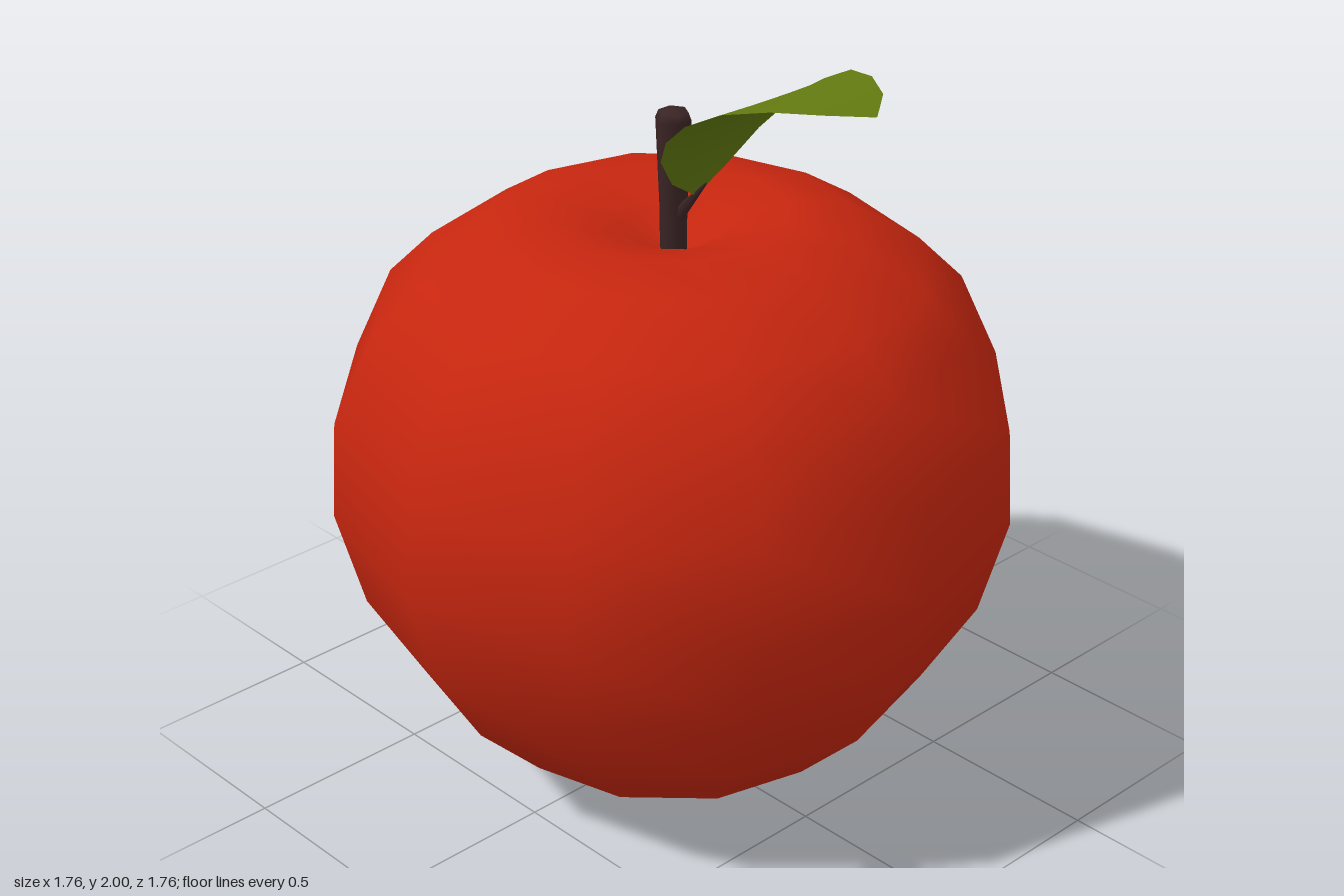
import * as THREE from 'three';

const material = (name, color, side = THREE.FrontSide) => {
  const m = new THREE.MeshStandardMaterial({ color, side });
  m.name = name;
  return m;
};

// Revolve a [radius, height] profile, listed from bottom to top
function revolve(name, profile, sides, mat, phiStart = 0) {
  const points = profile.map(([r, y]) => new THREE.Vector2(r, y));
  const mesh = new THREE.Mesh(new THREE.LatheGeometry(points, sides, phiStart), mat);
  mesh.name = name;
  return mesh;
}

// Leaf sheet: rows of [z, y, half width, cup depth] from base to tip
function leafGeometry(rows, across = 4) {
  const positions = [], index = [];
  rows.forEach(([z, y, w, cup], i) => {
    for (let j = 0; j <= across; j++) {
      const u = (j / across) * 2 - 1;
      const sink = cup * (1 - u * u);
      positions.push(u * w, y - sink * 0.7, z + sink * 0.7);
      if (i && j) {
        const d = i * (across + 1) + j, c = d - 1;
        const b = d - across - 1, a = b - 1;
        index.push(a, c, b, b, c, d);
      }
    }
  });
  const g = new THREE.BufferGeometry();
  g.setAttribute('position', new THREE.Float32BufferAttribute(positions, 3));
  g.setIndex(index);
  g.computeVertexNormals();
  return g;
}

export function createModel() {
  const group = new THREE.Group();
  group.name = 'apple';
  const red = material('apple red', 0xc6260f);
  const brown = material('stem brown', 0x3a2424);
  const green = material('leaf green', 0x627a10, THREE.DoubleSide);

  // Twelve-sided fruit with a dimple at the top
  group.add(revolve('fruit', [
    [0, 0.015], [0.12, 0], [0.30, 0.04], [0.48, 0.13], [0.67, 0.32], [0.81, 0.55],
    [0.88, 0.81], [0.865, 1.07], [0.76, 1.30], [0.64, 1.42], [0.47, 1.525],
    [0.30, 1.555], [0.13, 1.51], [0.05, 1.46], [0, 1.45],
  ], 12, red));

  // Six-sided stem, flaring towards its cut end
  group.add(revolve('stem', [
    [0.034, 1.40], [0.036, 1.57], [0.046, 1.80], [0.038, 1.82], [0, 1.825],
  ], 6, brown, Math.PI / 6));

  // Small tapered stalk joining the leaf to the stem
  const from = new THREE.Vector3(0, 1.55, 0.015);
  const to = new THREE.Vector3(0, 1.665, 0.115);
  const dir = to.clone().sub(from);
  const stalk = new THREE.Mesh(new THREE.CylinderGeometry(0.003, 0.02, dir.length(), 6), brown);
  stalk.name = 'leafStalk';
  stalk.position.copy(from).add(to).multiplyScalar(0.5);
  stalk.quaternion.setFromUnitVectors(new THREE.Vector3(0, 1, 0), dir.normalize());
  group.add(stalk);

  // Arched leaf, steep at the base and level at the tip
  const leaf = new THREE.Mesh(leafGeometry([
    [0.08, 1.625, 0.005, 0], [0.09, 1.68, 0.09, 0.012], [0.13, 1.77, 0.165, 0.02],
    [0.195, 1.85, 0.21, 0.022], [0.28, 1.92, 0.23, 0.015], [0.38, 1.973, 0.215, 0.004],
    [0.49, 1.998, 0.168, 0], [0.59, 2.0, 0.098, 0], [0.66, 1.99, 0.003, 0],
  ]), green);
  leaf.name = 'leaf';
  group.add(leaf);

  return group;
}
